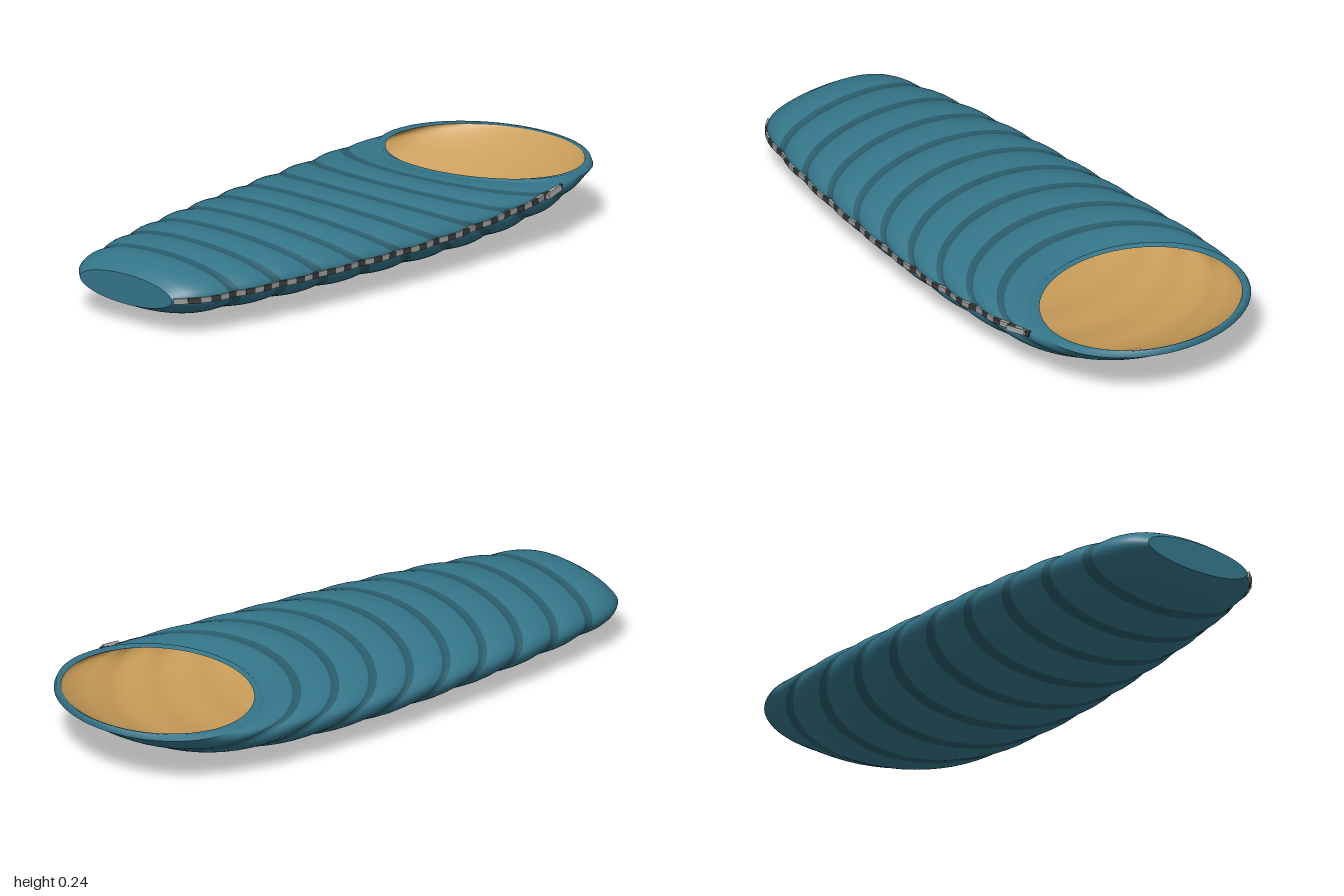
import * as THREE from 'three';

const SEGMENTS = 64;
const ROWS = 300;
const SEAM_START = 0.015, SEAM_STEP = 0.1;

// Body profile along the bag, s = 0 at the foot, 1 at the hood opening:
// half width, top height, bottom height, side height
const keys = [0, 0.02, 0.06, 0.15, 0.25, 0.4, 0.6, 0.7, 0.8, 0.9, 1];
const values = [
  0.2, 0.17, 0.07, 0.12,
  0.235, 0.188, 0.055, 0.122,
  0.267, 0.2, 0.038, 0.122,
  0.307, 0.21, 0.025, 0.123,
  0.338, 0.218, 0.017, 0.125,
  0.37, 0.226, 0.01, 0.127,
  0.398, 0.231, 0.008, 0.131,
  0.404, 0.231, 0.012, 0.139,
  0.405, 0.229, 0.028, 0.151,
  0.401, 0.225, 0.072, 0.167,
  0.38, 0.21, 0.175, 0.188,
];
const profile = new THREE.CubicInterpolant(new Float32Array(keys), new Float32Array(values), 4);

// One oval section; sections lean back more and more towards the hood
function section(s, inset = 0) {
  const [hx, top, bottom, side] = profile.evaluate(s);
  const puff = s < SEAM_START ? 0
    : 0.009 * Math.abs(Math.sin(Math.PI * (s - SEAM_START) / SEAM_STEP)) * Math.min(1, (1 - s) * 15);
  return {
    hx: hx + puff - inset * 1.5,
    top: top + puff - inset,
    bottom: bottom - puff + inset,
    side,
    zc: 1 - 1.695 * s,
    dz: Math.max(0, 0.305 * s - inset),
  };
}

function pointOn(ring, angle) {
  const sin = Math.sin(angle);
  const rise = sin > 0 ? ring.top - ring.side : ring.side - ring.bottom;
  return new THREE.Vector3(
    ring.hx * Math.cos(angle), ring.side + rise * sin, ring.zc + ring.dz * sin);
}

// Skin a list of sections; split the faces in two sets that share normals
function loft(rings, inSecondSet = () => false) {
  const positions = [], sets = [[], []];
  rings.forEach((ring, i) => {
    for (let j = 0; j < SEGMENTS; j++) {
      positions.push(...pointOn(ring, j / SEGMENTS * Math.PI * 2).toArray());
      if (i === rings.length - 1) continue;
      const k = (j + 1) % SEGMENTS;
      const a = i * SEGMENTS + j, b = a + SEGMENTS;
      const c = i * SEGMENTS + k, d = c + SEGMENTS;
      sets[inSecondSet(i) ? 1 : 0].push(a, b, c, b, d, c);
    }
  });
  const whole = new THREE.BufferGeometry();
  whole.setAttribute('position', new THREE.Float32BufferAttribute(positions, 3));
  whole.setIndex([...sets[0], ...sets[1]]);
  whole.computeVertexNormals();
  return sets.map((set) => {
    const geometry = new THREE.BufferGeometry();
    geometry.setAttribute('position', whole.attributes.position);
    geometry.setAttribute('normal', whole.attributes.normal);
    geometry.setIndex(set);
    return geometry;
  });
}

function isSeam(i) {
  const s = (i + 0.5) / ROWS;
  const nearest = Math.round((s - SEAM_START) / SEAM_STEP);
  return nearest > 0 && nearest < 10 && Math.abs(s - SEAM_START - nearest * SEAM_STEP) < 0.0125;
}

export function createModel() {
  const model = new THREE.Group();
  model.name = 'sleepingBag';
  const material = (color) => new THREE.MeshStandardMaterial({ color });
  const fabric = material(0x34758a), seamFabric = material(0x2a5c6b);
  const liningFabric = material(0xc99c58);
  const toothLight = material(0x999999), toothDark = material(0x3a3a3a);

  const add = (name, geometry, mat, parent = model) => {
    const mesh = new THREE.Mesh(geometry, mat);
    mesh.name = name;
    parent.add(mesh);
    return mesh;
  };

  // Quilted shell, ending in a rounded lip around the opening
  const crest = { hx: 0.37, top: 0.214, bottom: 0.198, side: 0.201, zc: -0.695, dz: 0.3 };
  const innerLip = { hx: 0.345, top: 0.206, bottom: 0.193, side: 0.197, zc: -0.697, dz: 0.288 };
  const shellRings = [];
  for (let i = 0; i <= ROWS; i++) shellRings.push(section(i / ROWS));
  shellRings.push(crest, innerLip);
  const [panels, seams] = loft(shellRings, isSeam);
  add('quiltedShell', panels, fabric);
  add('quiltSeams', seams, seamFabric);

  // Flat foot end
  const foot = add('footEnd', new THREE.CircleGeometry(1, SEGMENTS), fabric);
  foot.scale.set(0.2, 0.05, 1);
  foot.position.set(0, 0.12, 1);

  // Lining, running from the lip back down to the foot
  const liningRings = [innerLip];
  for (let s = 0.99; s > 0.02; s -= 0.02) liningRings.push(section(s, 0.015));
  add('lining', loft(liningRings)[0], liningFabric);

  // Zip along the left side, in alternating light and dark teeth
  const zip = new THREE.Group();
  zip.name = 'zip';
  model.add(zip);
  const teeth = 50;
  const zipPoint = (i) => pointOn(section(0.002 + 0.958 * i / teeth), 0);
  for (let i = 0; i < teeth; i++) {
    const from = zipPoint(i), to = zipPoint(i + 1);
    const tooth = add('zipTooth', new THREE.BoxGeometry(0.012, 0.018, from.distanceTo(to)),
      i % 2 ? toothDark : toothLight, zip);
    tooth.position.copy(from).lerp(to, 0.5);
    tooth.lookAt(to);
  }

  // Zip pull
  const pull = add('zipPull', new THREE.BoxGeometry(0.022, 0.018, 0.075), toothLight, zip);
  pull.position.copy(pointOn(section(0.93), 0)).add(new THREE.Vector3(0.006, 0, 0));
  pull.rotation.set(0.15, 0.2, 0.3);

  model.position.x = -0.004;
  return model;
}
